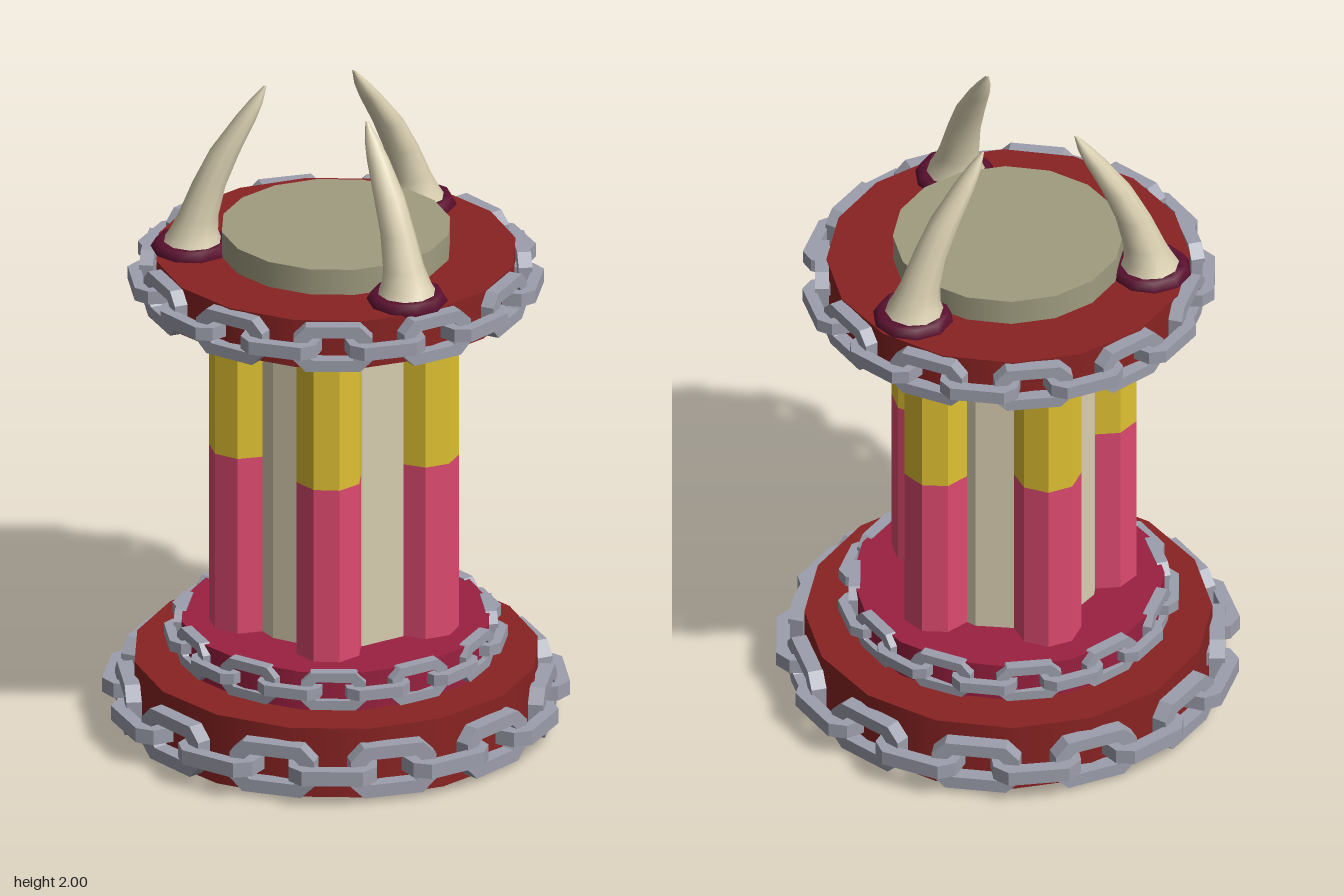
import * as THREE from 'three';
import { mergeVertices } from 'three/addons/utils/BufferGeometryUtils.js';

const mat = (name, color, flatShading = false) => {
  const m = new THREE.MeshStandardMaterial({ color, flatShading });
  m.name = name;
  return m;
};

export function createModel() {
  const red = mat('dark red', 0x8a2323);
  const crimson = mat('crimson', 0x9a2040);
  const pink = mat('pink', 0xde4a70, true);
  const yellow = mat('yellow', 0xdfc132, true);
  const cream = mat('cream', 0xd8cdb0, true);
  const stone = mat('stone', 0xa09c80);
  const steel = mat('steel', 0x9c9eac, true);
  const maroon = mat('maroon', 0x5c1030);
  const bone = mat('bone', 0xd8ceb0);

  const model = new THREE.Group();
  model.name = 'chainedPillar';

  const add = (parent, name, geometry, material, x = 0, y = 0, z = 0) => {
    const mesh = new THREE.Mesh(geometry, material);
    mesh.name = name;
    mesh.position.set(x, y, z);
    parent.add(mesh);
    return mesh;
  };
  // Upright prism between two heights
  const prism = (parent, name, r, y0, y1, sides, material, x = 0, z = 0) =>
    add(parent, name, new THREE.CylinderGeometry(r, r, y1 - y0, sides), material, x, (y0 + y1) / 2, z);

  // Stacked discs and central shaft
  prism(model, 'baseDisc', 0.6, 0, 0.22, 16, red);
  prism(model, 'baseStep', 0.46, 0.22, 0.34, 16, crimson);
  prism(model, 'topDisc', 0.535, 1.35, 1.5, 16, red);
  prism(model, 'topCap', 0.34, 1.5, 1.58, 16, stone);
  prism(model, 'shaft', 0.27, 0.34, 1.35, 12, cream).rotation.y = Math.PI / 12;

  // Five two-coloured columns around the shaft
  [[36, 0.89], [108, 0.87], [180, 0.9], [252, 0.9], [324, 0.89]].forEach(([deg, split]) => {
    const a = THREE.MathUtils.degToRad(deg);
    const x = 0.283 * Math.sin(a), z = 0.283 * Math.cos(a);
    const column = new THREE.Group();
    column.name = 'column';
    column.position.set(x, 0, z);
    column.rotation.y = a + Math.PI / 8;
    prism(column, 'columnLower', 0.1, 0.34, split, 8, pink);
    prism(column, 'columnUpper', 0.1, split, 1.35, 8, yellow);
    model.add(column);
  });

  // Chain link: a chamfered rectangular ring
  const outline = (path, w, h, c) => {
    const pts = [[w, h - c], [w - c, h], [c - w, h], [-w, h - c], [-w, c - h], [c - w, -h], [w - c, -h], [w, c - h]];
    return path.setFromPoints(pts.map(([x, y]) => new THREE.Vector2(x, y)));
  };
  const linkShape = outline(new THREE.Shape(), 0.13, 0.08, 0.04);
  linkShape.holes.push(outline(new THREE.Path(), 0.09, 0.04, 0.022));
  const linkGeo = new THREE.ExtrudeGeometry(linkShape, { depth: 0.046, bevelEnabled: false });
  linkGeo.translate(0, 0, -0.023);
  const flatLinkGeo = linkGeo.clone().rotateX(Math.PI / 2);

  // Chain of 22 links, alternately upright and lying flat
  const chain = (name, y, scale, offset) => {
    const group = new THREE.Group();
    group.name = name;
    for (let i = 0; i < 22; i++) {
      const a = ((i + offset) / 22) * Math.PI * 2;
      const r = i % 2 ? 0.615 : 0.602;
      const link = add(group, 'chainLink', i % 2 ? linkGeo : flatLinkGeo, steel, r * Math.sin(a), 0, r * Math.cos(a));
      link.rotation.y = a;
    }
    group.position.y = y;
    group.scale.setScalar(scale);
    model.add(group);
  };
  chain('baseChain', 0.097, 1, 0);
  chain('stepChain', 0.285, 0.735, 1);
  chain('topChain', 1.425, 0.89, 1);

  // Horn rows from tip to root: lean toward the tip, height, radius
  const rows = [
    [1, 2, 0.004], [0.87, 1.95, 0.022], [0.73, 1.9, 0.033], [0.45, 1.8, 0.046],
    [0.24, 1.7, 0.052], [0.09, 1.6, 0.062], [0.03, 1.55, 0.075], [0, 1.5, 0.1],
  ];
  const hornGeometry = (dx, dz) => {
    let g = new THREE.CylinderGeometry(1, 1, 1, 10, rows.length - 1, true);
    const p = g.attributes.position;
    for (let i = 0; i < p.count; i++) {
      const [lean, y, r] = rows[Math.round((0.5 - p.getY(i)) * (rows.length - 1))];
      p.setXYZ(i, p.getX(i) * r + dx * lean, y, p.getZ(i) * r + dz * lean);
    }
    g.deleteAttribute('uv');
    g.deleteAttribute('normal');
    g = mergeVertices(g);
    g.computeVertexNormals();
    return g;
  };

  // Three inward-curving horns in ring sockets: base x, z and tip x, z
  [[-0.02, 0.43, -0.03, 0.22], [0.38, -0.165, 0.135, -0.12], [-0.355, -0.235, -0.145, -0.16]].forEach(([x, z, tx, tz]) => {
    add(model, 'horn', hornGeometry(tx - x, tz - z), bone, x, 0, z);
    const ring = new THREE.TorusGeometry(0.092, 0.028, 6, 10).rotateX(Math.PI / 2);
    add(model, 'hornSocket', ring, maroon, x, 1.503, z);
  });

  return model;
}
